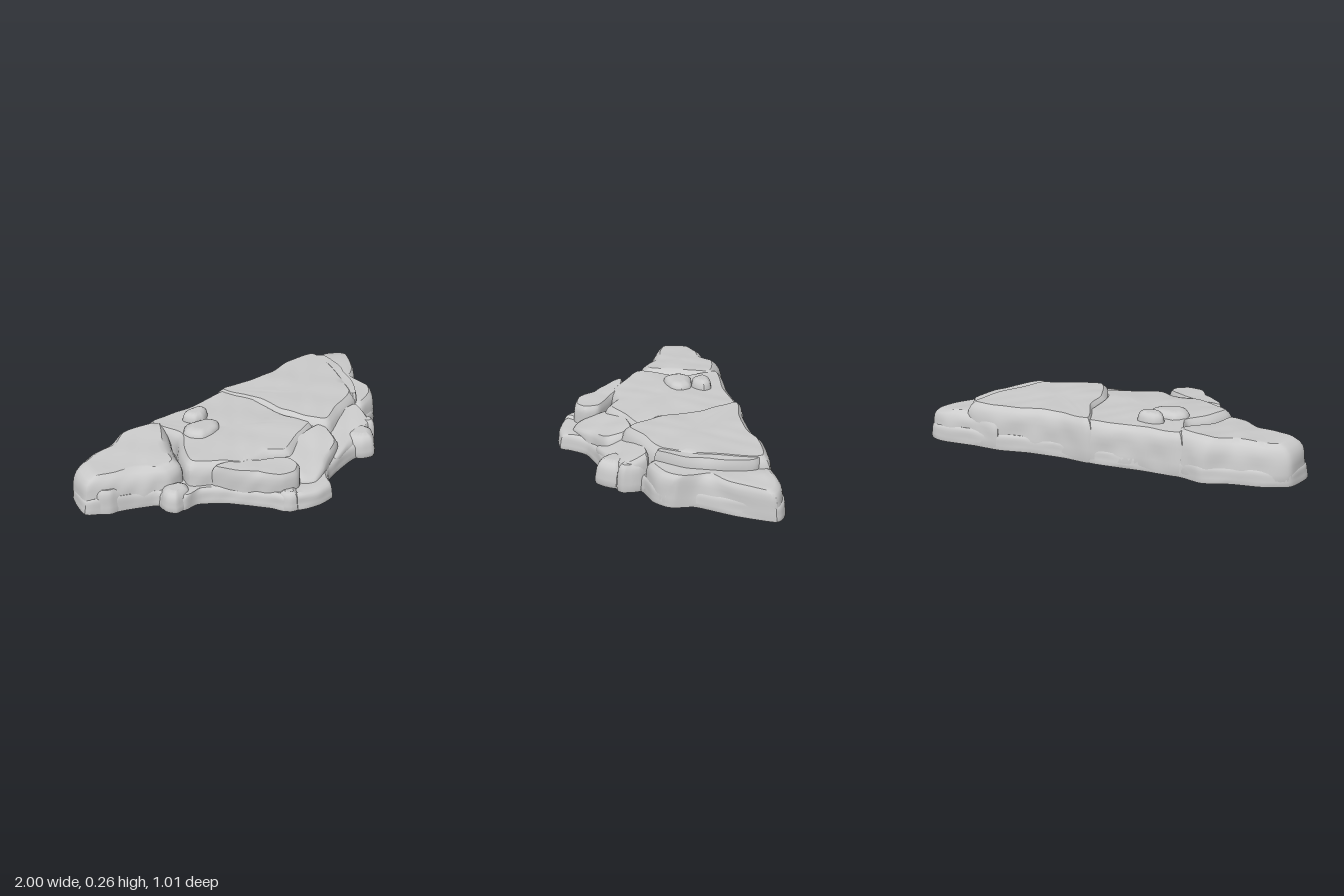
import * as THREE from 'three';
import { toCreasedNormals } from 'three/addons/utils/BufferGeometryUtils.js';

const material = new THREE.MeshStandardMaterial({ color: 0xcccccc });

// Smooth, repeatable surface roughness in the range of about -1 to 1.
const rough = (x, y, z) =>
  0.5 * Math.sin(9 * x + 4 * Math.sin(5 * z) + 8 * y) * Math.cos(11 * z - 6 * y + 1) +
  0.3 * Math.sin(23 * x - 17 * z + 19 * y) + 0.2 * Math.sin(41 * x + 31 * z - 25 * y);

// Side wall steps: [share of the height, share of the bevel width].
const WALL = [[0, 0.12], [0.12, 0], [0.3, 0.03], [0.5, 0.1], [0.65, 0.18], [0.8, 0.36], [0.91, 0.62], [1, 1]];
const CAP = [0.85, 0.65, 0.45, 0.22, 0];

// A block of stone: a closed outline in x and z, raised in rings and closed above and below.
// top(x, z) is the height of its upper face, bevel the width of its worn edge.
function rock(name, outline, { top, bevel = 0.06, bottom = 0, samples = 110, chip = 0.012, ripple = 0.005 }) {
  const points = outline.map(([x, z]) => new THREE.Vector3(x, 0, z));
  const loop = new THREE.CatmullRomCurve3(points, true, 'catmullrom', 0.3).getSpacedPoints(samples).slice(0, samples);
  const box = new THREE.Box3().setFromPoints(points);
  const centre = box.getCenter(new THREE.Vector3());
  const positions = [], indices = [];
  const inset = (p, d) => {
    const v = centre.clone().sub(p), length = v.length();
    return p.clone().addScaledVector(v, Math.min(d / length, 0.8));
  };
  const push = (p, y) => positions.push(p.x, y, p.z);

  loop.forEach(() => push(centre, bottom));
  WALL.forEach(([h, b]) => loop.forEach((p) => {
    const edge = inset(p, bevel);
    const height = top(edge.x, edge.z) + ripple * rough(edge.x, 0, edge.z);
    const y = bottom + (height - bottom) * h;
    const wear = chip * (1 + rough(p.x, y, p.z)) * Math.sin(Math.PI * Math.min(h + 0.1, 1));
    push(inset(p, bevel * b + Math.max(wear, 0)), y);
  }));
  CAP.forEach((s) => loop.forEach((p) => {
    const q = centre.clone().lerp(inset(p, bevel), s);
    push(q, top(q.x, q.z) + ripple * rough(q.x, 0, q.z));
  }));

  const rings = WALL.length + CAP.length + 1;
  for (let r = 0; r < rings - 1; r++) {
    for (let i = 0; i < samples; i++) {
      const a = r * samples + i, b = r * samples + (i + 1) % samples;
      if (r > 0) indices.push(b, a, a + samples);
      if (r < rings - 2) indices.push(b, a + samples, b + samples);
    }
  }
  const geometry = new THREE.BufferGeometry();
  geometry.setAttribute('position', new THREE.Float32BufferAttribute(positions, 3));
  geometry.setIndex(indices);
  const mesh = new THREE.Mesh(toCreasedNormals(geometry, 0.6), material);
  mesh.name = name;
  return mesh;
}

export function createModel() {
  const group = new THREE.Group();
  group.name = 'rockSlab';

  // Low footing that carries the whole outline
  group.add(rock('footing', [
    [-1, -0.25], [-0.97, -0.35], [-0.85, -0.41], [-0.7, -0.44], [-0.57, -0.49], [-0.44, -0.46],
    [-0.2, -0.465], [0, -0.48], [0.2, -0.47], [0.4, -0.48], [0.55, -0.51], [0.7, -0.505], [0.88, -0.515],
    [0.95, -0.5], [1, -0.45], [0.92, -0.28], [0.8, -0.1], [0.79, 0.02], [0.72, 0.09], [0.6, 0.13],
    [0.58, 0.22], [0.5, 0.3], [0.36, 0.3], [0.15, 0.36], [0.07, 0.45], [0.05, 0.49], [-0.04, 0.5],
    [-0.13, 0.48], [-0.22, 0.43], [-0.26, 0.36], [-0.4, 0.19], [-0.52, 0.1], [-0.6, 0.1],
    [-0.68, 0.03], [-0.68, -0.02], [-0.8, -0.08], [-0.9, -0.12], [-1, -0.18],
  ], { top: () => 0.085, bevel: 0.035, samples: 240, chip: 0.006 }));

  // Three large plates forming the upper face
  group.add(rock('westPlate', [
    [-1, -0.25], [-0.97, -0.35], [-0.85, -0.41], [-0.7, -0.44], [-0.57, -0.49], [-0.44, -0.46],
    [-0.34, -0.4], [-0.42, -0.2], [-0.5, 0], [-0.6, 0.02], [-0.68, -0.02], [-0.8, -0.08], [-0.9, -0.12], [-1, -0.18],
  ], { top: (x, z) => 0.205 + 0.03 * (x + 0.7) - 0.04 * (z + 0.25), bevel: 0.08 }));
  group.add(rock('middlePlate', [
    [-0.46, -0.455], [-0.2, -0.465], [0, -0.48], [0.15, -0.46], [0.2, -0.2], [0.22, 0], [0.28, 0.12],
    [0.12, 0.2], [-0.02, 0.27], [-0.12, 0.22], [-0.3, 0.22], [-0.4, 0.15], [-0.54, 0.04], [-0.5, -0.1], [-0.42, -0.25],
  ], { top: (x, z) => 0.212 - 0.03 * Math.max(x, 0) - 0.08 * Math.max(z, 0), bevel: 0.06 }));
  group.add(rock('eastPlate', [
    [0.02, -0.475], [0.2, -0.47], [0.4, -0.48], [0.55, -0.505], [0.68, -0.5], [0.78, -0.47], [0.77, -0.32],
    [0.72, -0.12], [0.64, 0.06], [0.54, 0.12], [0.42, 0.16], [0.28, 0.21], [0.2, 0.12], [0.12, -0.05], [0.1, -0.25],
  ], { top: (x, z) => 0.222 - 0.03 * Math.max(z, 0), bevel: 0.065 }));

  // Lower shelf at the east end, falling away towards its pointed corner
  group.add(rock('eastShelf', [
    [0.55, -0.51], [0.7, -0.505], [0.88, -0.515], [0.95, -0.5], [1, -0.45], [0.92, -0.28], [0.8, -0.1],
    [0.79, 0.02], [0.72, 0.09], [0.58, 0.12], [0.52, -0.1], [0.52, -0.35],
  ], { top: (x) => 0.165 - 0.12 * Math.max(x - 0.82, 0), bevel: 0.06 }));
  group.add(rock('eastRib', [
    [0.72, -0.45], [0.78, -0.4], [0.77, -0.22], [0.7, -0.05], [0.6, 0.08], [0.57, 0.04], [0.66, -0.14], [0.7, -0.3],
  ], { top: (x, z) => 0.218 - 0.04 * Math.max(z, 0), bevel: 0.03, samples: 60 }));

  // Broken ledges along the front
  group.add(rock('frontLedge', [
    [-0.44, 0.1], [-0.28, 0.12], [-0.14, 0.2], [-0.04, 0.28], [-0.04, 0.36], [-0.1, 0.41],
    [-0.19, 0.4], [-0.26, 0.34], [-0.36, 0.22],
  ], { top: (x, z) => 0.2 - 0.06 * Math.max(z - 0.1, 0), bevel: 0.035, samples: 70 }));
  group.add(rock('frontStep', [
    [-0.08, 0.2], [0.1, 0.12], [0.3, 0.12], [0.3, 0.26], [0.18, 0.34], [0.08, 0.4], [-0.02, 0.43], [-0.09, 0.38],
  ], { top: (x, z) => 0.19 - 0.35 * Math.max(z - 0.15, 0), bevel: 0.04, samples: 70 }));
  group.add(rock('frontApron', [
    [0.2, 0.1], [0.4, 0.08], [0.58, 0.08], [0.6, 0.15], [0.58, 0.22], [0.45, 0.27], [0.33, 0.3], [0.2, 0.32],
  ], { top: (x, z) => 0.19 - 0.5 * Math.max(z - 0.1, 0), bevel: 0.035, samples: 70 }));

  // Loose stones around the foot and on top: [name, x, z, radius x, radius z, bottom, top]
  [
    ['frontBoulder', 0.46, 0.25, 0.095, 0.09, 0, 0.13],
    ['eastFootStone', 0.56, 0.17, 0.05, 0.08, 0, 0.14],
    ['westFootStone', -0.6, 0.03, 0.085, 0.075, 0, 0.11],
    ['westCornerStone', -0.84, -0.15, 0.11, 0.05, 0, 0.13],
    ['noseStone', -0.17, 0.4, 0.06, 0.06, 0, 0.1],
    ['capStone', -0.22, -0.3, 0.075, 0.06, 0.18, 0.26],
    ['lowCapStone', -0.27, -0.18, 0.11, 0.085, 0.18, 0.245],
  ].forEach(([name, x, z, rx, rz, bottom, height]) => {
    const outline = Array.from({ length: 9 }, (_, i) => {
      const a = (i / 9) * Math.PI * 2, r = 1 + 0.08 * Math.sin(i * 2.3 + x * 20);
      return [x + rx * r * Math.cos(a), z + rz * r * Math.sin(a)];
    });
    group.add(rock(name, outline, {
      top: () => height, bottom, bevel: Math.min(rx, rz) * 0.6, samples: 40, chip: 0.004, ripple: 0.003,
    }));
  });

  return group;
}
